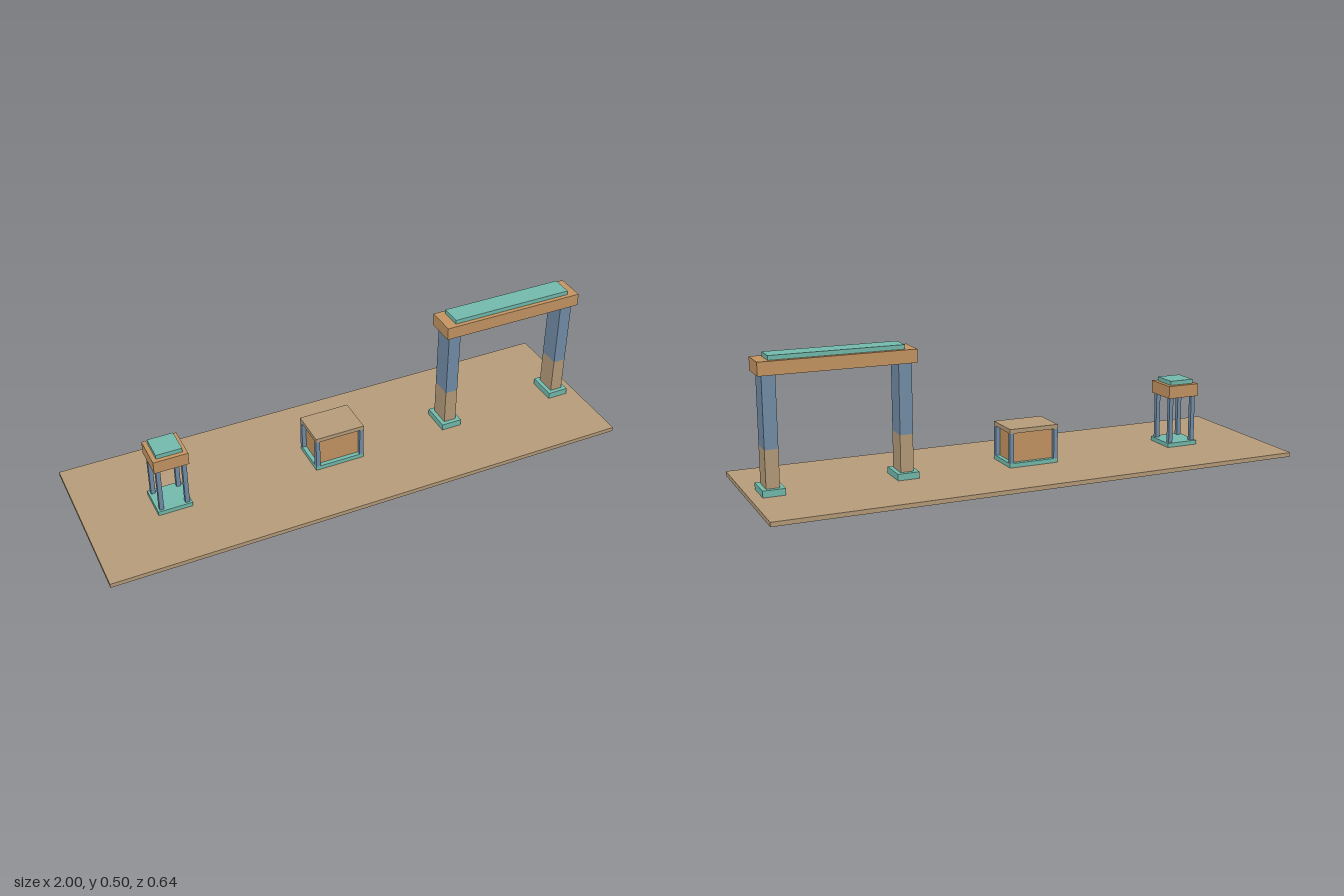
import * as THREE from 'three';

const paint = (name, color) => {
  const m = new THREE.MeshStandardMaterial({ color });
  m.name = name;
  return m;
};

export function createModel() {
  const tan = paint('tan', 0xb79d7b);
  const orange = paint('orange', 0xc69663);
  const teal = paint('teal', 0x74bcae);
  const blue = paint('slateBlue', 0x748fa9);

  const model = new THREE.Group();
  const group = (name, x) => {
    const g = new THREE.Group();
    g.name = name;
    g.position.x = x;
    model.add(g);
    return g;
  };

  // box given by half width, half depth and its bottom and top heights
  const block = (parent, name, mat, hx, hz, y0, y1, x = 0, z = 0) => {
    const m = new THREE.Mesh(new THREE.BoxGeometry(hx * 2, y1 - y0, hz * 2), mat);
    m.name = name;
    m.position.set(x, (y0 + y1) / 2, z);
    parent.add(m);
  };

  // four square posts mirrored about the centre
  const posts = (parent, px, pz, y0, y1) => {
    for (const sx of [-1, 1])
      for (const sz of [-1, 1])
        block(parent, 'cornerPost', blue, 0.008, 0.008, y0, y1, sx * px, sz * pz);
  };

  // ground slab
  block(model, 'ground', tan, 1, 0.32, 0, 0.016);

  // small lantern pavilion
  const lantern = group('lantern', -0.68);
  block(lantern, 'base', teal, 0.064, 0.064, 0.016, 0.032);
  posts(lantern, 0.048, 0.048, 0.032, 0.208);
  block(lantern, 'roof', orange, 0.064, 0.064, 0.208, 0.256);
  block(lantern, 'roofCap', teal, 0.048, 0.048, 0.256, 0.272);

  // crate with a corner frame
  const crate = group('crate', -0.042);
  block(crate, 'base', teal, 0.096, 0.072, 0.016, 0.032);
  block(crate, 'body', orange, 0.08, 0.056, 0.032, 0.144);
  posts(crate, 0.088, 0.064, 0.032, 0.144);
  block(crate, 'lid', tan, 0.096, 0.072, 0.144, 0.16);

  // gateway with two-tone pillars
  const gate = group('gateway', 0.678);
  for (const x of [-0.24, 0.24]) {
    block(gate, 'pillarBase', teal, 0.04, 0.056, 0.016, 0.04, x);
    block(gate, 'pillarLower', tan, 0.024, 0.04, 0.04, 0.176, x);
    block(gate, 'pillarUpper', blue, 0.024, 0.04, 0.176, 0.432, x);
  }
  block(gate, 'beam', orange, 0.28, 0.056, 0.432, 0.48);
  block(gate, 'beamCap', teal, 0.24, 0.04, 0.48, 0.496);

  return model;
}
